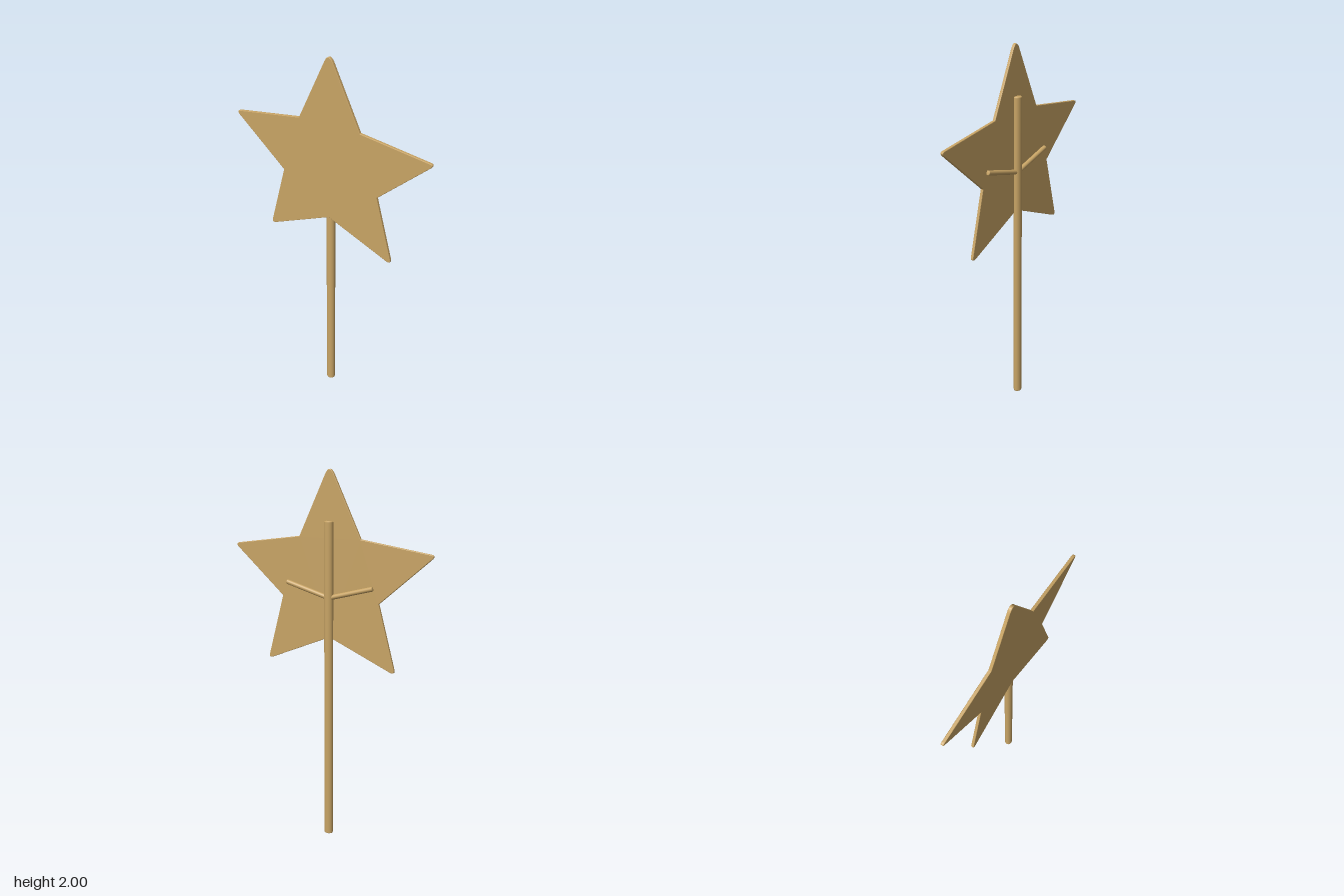
import * as THREE from 'three';

// Right half of the star, top to bottom: rounded tips [start, control, end] and inner corners [point]
const HALF_STAR = [
  [[0.175, 1.66]],
  [[0.54, 1.608], [0.575, 1.605], [0.55, 1.582]],
  [[0.278, 1.34]],
  [[0.367, 1.01], [0.378, 0.978], [0.345, 0.99]],
];

function starShape() {
  const shape = new THREE.Shape();
  const mirror = ([x, y]) => [-x, y];
  const left = HALF_STAR.map((c) => c.map(mirror).reverse()).reverse();
  shape.moveTo(-0.025, 1.975);
  shape.quadraticCurveTo(0, 2.025, 0.025, 1.975);
  for (const corner of [...HALF_STAR, [[0, 1.138]], ...left]) {
    shape.lineTo(...corner[0]);
    if (corner.length === 3) shape.quadraticCurveTo(...corner[1], ...corner[2]);
  }
  shape.closePath();
  return shape;
}

// Round stick with softened ends, running up y from 0
function stickGeometry(radius, length, soft) {
  const profile = [
    [0, 0], [radius - soft, 0], [radius - soft * 0.3, soft * 0.3], [radius, soft],
    [radius, length - soft], [radius - soft * 0.3, length - soft * 0.3], [radius - soft, length], [0, length],
  ].map(([x, y]) => new THREE.Vector2(x, y));
  return new THREE.LatheGeometry(profile, 24);
}

export function createModel() {
  const group = new THREE.Group();
  const gold = new THREE.MeshStandardMaterial({ color: 0xc8a465 });
  gold.name = 'gold';

  const add = (name, geometry) => {
    const mesh = new THREE.Mesh(geometry, gold);
    mesh.name = name;
    group.add(mesh);
    return mesh;
  };

  // Thin star plate with a softened rim
  const bevel = 0.003;
  const star = add('star', new THREE.ExtrudeGeometry(starShape(), {
    depth: 0.016 - 2 * bevel, bevelEnabled: true, bevelThickness: bevel,
    bevelSize: bevel, bevelOffset: -bevel, bevelSegments: 2, curveSegments: 10,
  }));
  star.position.z = 0.006 + bevel;

  // Handle, slightly flattened front to back, running up behind the star
  add('handle', stickGeometry(0.0245, 1.745, 0.006)).scale.z = 0.87;

  // Two thin braces rising outwards from the handle
  const start = new THREE.Vector3(0, 1.35, 0);
  for (const side of [1, -1]) {
    const direction = new THREE.Vector3(side * 0.248, 0.068, 0);
    const brace = add(side > 0 ? 'leftBrace' : 'rightBrace', stickGeometry(0.0125, direction.length(), 0.004));
    brace.position.copy(start);
    brace.quaternion.setFromUnitVectors(new THREE.Vector3(0, 1, 0), direction.normalize());
  }
  return group;
}
